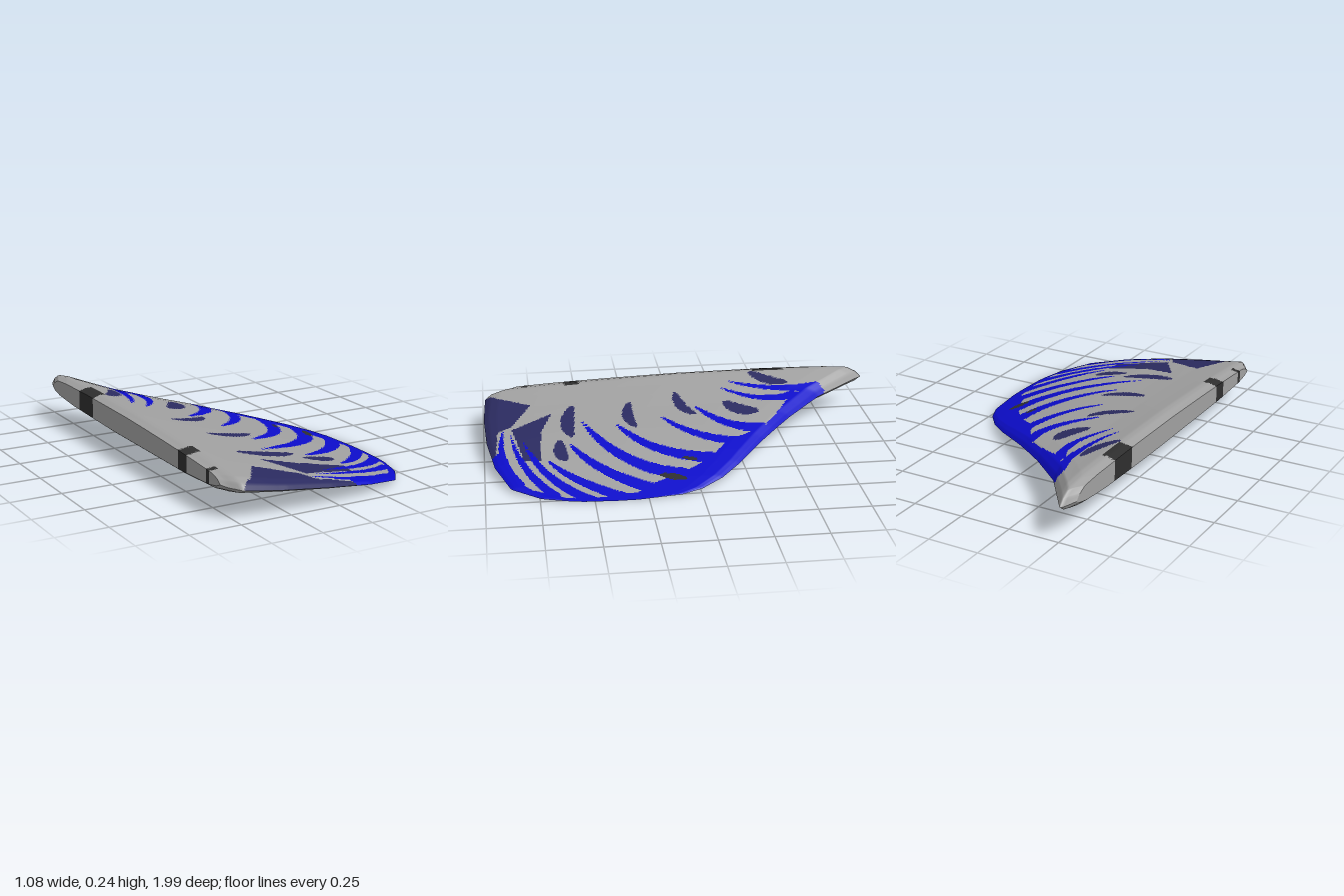
import * as THREE from 'three';

const mat = (name, color) => Object.assign(new THREE.MeshStandardMaterial({ color }), { name });

// Piecewise-linear lookup through [position, value] pairs
function lookup(table, p) {
  if (p <= table[0][0]) return table[0][1];
  for (let i = 1; i < table.length; i++) {
    const [a, va] = table[i - 1], [b, vb] = table[i];
    if (p <= b) return va + (vb - va) * (p - a) / (b - a);
  }
  return table[table.length - 1][1];
}

// Planform: rear and front edge z for each x
const rearEdge = [[-0.54, -0.915], [-0.505, -1], [-0.315, -0.73], [-0.115, -0.535], [0.08, -0.37],
  [0.28, -0.215], [0.39, -0.115], [0.475, -0.005], [0.515, 0.09], [0.54, 0.3]];
const frontEdge = [[-0.54, 0.89], [-0.48, 0.985], [-0.26, 0.995], [-0.025, 0.985], [0.2, 0.95],
  [0.385, 0.88], [0.485, 0.74], [0.53, 0.58], [0.54, 0.4]];
// Crest and belly heights along x
const crest = [[-0.54, 0.224], [-0.5, 0.236], [-0.47, 0.236], [-0.4, 0.217], [-0.3, 0.192],
  [-0.2, 0.172], [0, 0.135], [0.2, 0.09], [0.4, 0.04], [0.54, 0.002]];
const belly = [[-0.54, 0.115], [-0.52, 0.1], [-0.47, 0.092], [-0.23, 0.074], [0, 0.05],
  [0.2, 0.027], [0.4, 0.003], [0.47, 0], [0.54, 0.002]];
// Rounded section, from rear edge (0) to front edge (1)
const upperProfile = [[0, 0], [0.015, 0.45], [0.04, 0.82], [0.1, 0.95], [0.25, 1], [0.5, 0.94],
  [0.7, 0.77], [0.85, 0.61], [0.96, 0.45], [0.985, 0.27], [1, 0]];
const lowerProfile = [[0, 0], [0.015, 0.3], [0.05, 0.55], [0.15, 0.8], [0.4, 1], [0.8, 1],
  [0.94, 0.75], [0.98, 0.4], [1, 0]];

function finPoint(u, s, upper) {
  const x = -0.54 + 1.08 * u;
  const z = THREE.MathUtils.lerp(lookup(rearEdge, x), lookup(frontEdge, x), s);
  const t = lookup(crest, x), b = lookup(belly, x), edge = b + (t - b) * (0.5 - 0.15 * s);
  const y = upper ? edge + (t - edge) * lookup(upperProfile, s) : edge + (b - edge) * lookup(lowerProfile, s);
  return [x, y, z];
}

// Paint layout in hundredths of a unit: curved streaks [x,z, control x,z, end x,z, half width]
const blueStreaks = [
  [-34, -72, -27, -50, -40, -25, 3], [-26, -58, -17, -40, -35, -21, 3],
  [3, -37, 4, -18, -19, -6, 4], [14, -24, 10, 0, -11, 12, 3.5],
  [26, -8, 22, 22, -7, 35, 4.2], [37, 8, 30, 38, -13, 52, 4.5],
  [48, 20, 34, 48, 7, 59, 4], [52, 36, 38, 60, 20, 70, 3.3],
  [52, 52, 36, 74, 2, 81, 3], [47, 68, 28, 84, -6, 87, 2.5],
  [37, 84, 16, 95, -10, 90, 2.5],
];
const navyStreaks = [
  [-37, -57, -37, -45, -47, -39, 3.5], [-12, -37, -11, -27, -21, -22, 4.5],
  [-11, -6, -16, 3, -33, 2, 2.8], [-2, 25, -12, 31, -26, 26, 2.8],
  [2, 57, -10, 61, -27, 55, 3.4], [21, 61, 16, 65, 4, 63, 3.2],
];
const blackStreaks = [[41, 6, 39, 11, 37, 18, 2.2], [27, -1, 26, 2, 25, 6, 1.3]];
const blueBand = [[-35, -75], [-33, -70], [-26, -57], [-12, -48], [3, -37], [13, -18], [26, -8],
  [37, 8], [43, 22], [49, 30], [51, 50], [50, 62], [42, 78], [30, 89], [10, 93],
  [20, 110], [80, 80], [80, -40], [0, -90], [-33, -80]];
const navyCorner = [[-50, 100], [-40, 91], [-31, 76], [-12, 86], [-8, 93], [20, 95], [30, 108], [-50, 108]];
const navyPatch = [[-21, 66], [-4, 72], [20, 73], [19, 81], [-9, 86]];
const rootPatches = [[-57, -41, -47.5], [50, 58, -46.5], [76, 79, -50]]; // z from, z to, x limit

function inPolygon(poly, x, z) {
  let inside = false;
  poly.forEach(([ax, az], i) => {
    const [bx, bz] = poly[(i + 1) % poly.length];
    if ((az > z) !== (bz > z) && x < ax + (bx - ax) * (z - az) / (bz - az)) inside = !inside;
  });
  return inside;
}

function inStreak([x0, z0, x1, z1, x2, z2, w], x, z, taper) {
  for (let k = 0; k <= 30; k++) {
    const t = k / 30, a = (1 - t) * (1 - t), b = 2 * t * (1 - t), c = t * t;
    const r = w * taper(t);
    if (Math.hypot(a * x0 + b * x1 + c * x2 - x, a * z0 + b * z1 + c * z2 - z) < r) return true;
  }
  return false;
}

const finger = t => Math.sqrt(1 - t);
const leaf = t => Math.sqrt(Math.sin(Math.PI * t));

// Material index: 0 grey, 1 blue, 2 navy, 3 black
function paint(px, pz) {
  const x = px * 100, z = pz * 100;
  if (rootPatches.some(([a, b, limit]) => z > a && z < b && x < limit)) return 3;
  if (blackStreaks.some(s => inStreak(s, x, z, leaf))) return 3;
  if (inPolygon(blueBand, x, z) || blueStreaks.some(s => inStreak(s, x, z, finger))) return 1;
  if (inPolygon(navyCorner, x, z) || inPolygon(navyPatch, x, z)) return 2;
  return navyStreaks.some(s => inStreak(s, x, z, leaf)) ? 2 : 0;
}

// Grid of quads, sorted into one geometry group per colour
function sheet(name, point, nu, nv, flip, colourOf, materials) {
  const pos = [], lists = materials.map(() => []);
  for (let i = 0; i <= nu; i++) for (let j = 0; j <= nv; j++) pos.push(...point(i / nu, j / nv));
  for (let i = 0; i < nu; i++) for (let j = 0; j < nv; j++) {
    const a = i * (nv + 1) + j, b = a + 1, c = a + nv + 1, d = c + 1;
    const mid = k => (pos[a * 3 + k] + pos[d * 3 + k]) / 2;
    lists[colourOf(mid(0), mid(2))].push(...(flip ? [a, c, b, c, d, b] : [a, b, c, c, b, d]));
  }
  const geo = new THREE.BufferGeometry();
  geo.setAttribute('position', new THREE.Float32BufferAttribute(pos, 3));
  geo.setIndex(lists.flat());
  let start = 0;
  lists.forEach((list, m) => {
    if (list.length) geo.addGroup(start, list.length, m);
    start += list.length;
  });
  geo.computeVertexNormals();
  const mesh = new THREE.Mesh(geo, materials);
  mesh.name = name;
  return mesh;
}

export function createModel() {
  const materials = [mat('grey', 0xa0a0a0), mat('blue', 0x0c0cca), mat('navy', 0x2b2b60), mat('black', 0x2e2e2e)];
  const group = new THREE.Group();
  group.name = 'fin';
  const plain = () => 0;
  group.add(
    sheet('paintedUpperSkin', (u, v) => finPoint(u, v, true), 130, 200, false, paint, materials),
    sheet('lowerSkin', (u, v) => finPoint(u, v, false), 130, 200, true, plain, materials),
    // Flat root face closing the two skins
    sheet('rootFace', (u, v) => {
      const top = finPoint(0, u, true), low = finPoint(0, u, false);
      return [top[0], top[1] + (low[1] - top[1]) * v, top[2]];
    }, 200, 2, false, paint, materials),
  );
  return group;
}
